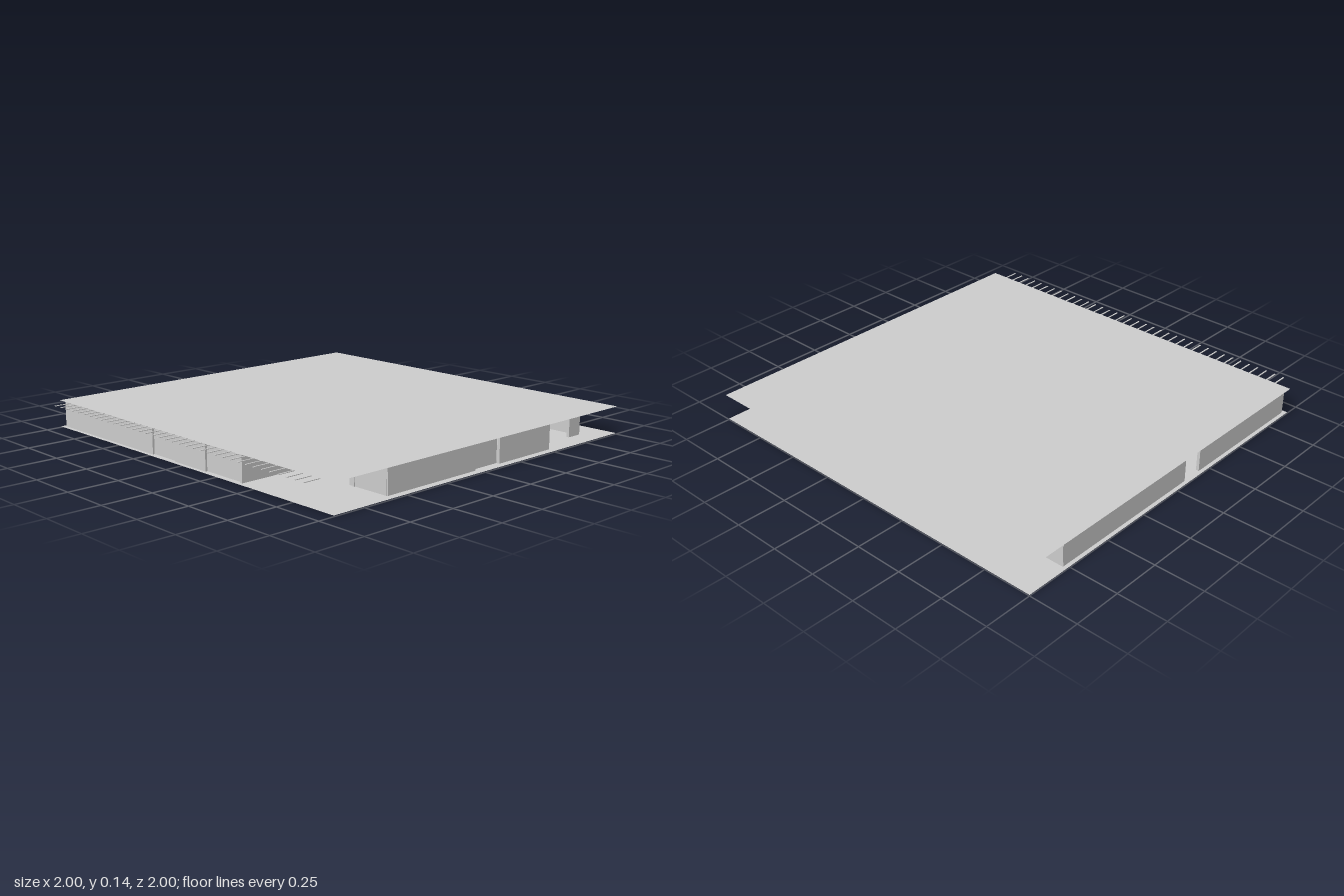
import * as THREE from 'three';

const FLOOR = 0.005, ROOF = 0.14, THICK = 0.015;

export function createModel() {
  const model = new THREE.Group();
  const grey = new THREE.MeshStandardMaterial({ color: 0xcccccc, side: THREE.DoubleSide, flatShading: true });
  const smooth = new THREE.MeshStandardMaterial({ color: 0xcccccc });

  const add = (name, geometry, x, y, z, material = grey) => {
    const mesh = new THREE.Mesh(geometry, material);
    mesh.name = name;
    mesh.position.set(x, y, z);
    model.add(mesh);
    return mesh;
  };

  // thin floor and roof sheets
  const sheet = (name, y) =>
    add(name, new THREE.PlaneGeometry(2, 1.92).rotateX(-Math.PI / 2), 0, y, -0.04);
  sheet('floor', FLOOR);
  sheet('roof', ROOF);

  // joists under the roof, reaching past its front edge
  for (let i = 0; i < 37; i++) {
    add('joist', new THREE.BoxGeometry(0.007, 0.003, 1.96), -0.912 + i * 0.0507, ROOF - 0.003, 0.02);
  }

  // wall running along x or z, between two heights
  const wallX = (name, x0, x1, z, y0 = FLOOR, y1 = ROOF - 0.001) =>
    add(name, new THREE.BoxGeometry(x1 - x0, y1 - y0, THICK), (x0 + x1) / 2, (y0 + y1) / 2, z);
  const wallZ = (name, z0, z1, x, y0 = FLOOR, y1 = ROOF - 0.001) =>
    add(name, new THREE.BoxGeometry(THICK, y1 - y0, z1 - z0), x, (y0 + y1) / 2, (z0 + z1) / 2);

  // front wall with slightly recessed panels
  wallX('frontWall', -0.98, -0.235, 0.893);
  wallX('frontPanel', -0.235, -0.065, 0.883);
  wallX('frontWall', -0.065, 0.16, 0.893);
  wallX('frontPanel', 0.16, 0.41, 0.883);

  // front corner porch with a doorway
  wallZ('porchSideWall', 0.58, 0.9, 0.405);
  wallX('porchWall', 0.41, 0.63, 0.575);
  wallX('porchWall', 0.74, 0.96, 0.575);
  wallX('porchLintel', 0.63, 0.74, 0.575, 0.105);
  for (const x of [0.61, 0.77]) wallX('porchJamb', x - 0.005, x + 0.005, 0.58);

  // side wall on the +x side with a recessed panel
  wallZ('leftWall', 0.025, 0.58, 0.957);
  wallZ('leftPanel', -0.14, 0.025, 0.94);
  wallZ('leftWall', -0.505, -0.14, 0.957);

  // rear corner bay with a doorway
  wallX('bayReturn', 0.885, 0.96, -0.505);
  wallZ('bayWall', -0.58, -0.5, 0.885);
  wallZ('bayWall', -0.845, -0.76, 0.885);
  wallZ('bayLintel', -0.76, -0.58, 0.885, 0.105);
  wallX('bayBackWall', 0.41, 0.89, -0.838);
  wallZ('baySideWall', -0.84, -0.76, 0.415);

  // back wall and the -x side wall with its opening
  wallX('backWall', -0.98, 0.415, -0.765);
  wallZ('rightWall', -0.77, 0.08, -0.973);
  wallZ('rightWall', 0.19, 0.9, -0.973);

  // round columns standing through floor and roof
  const spots = [
    [-0.37, -0.41], [-0.13, -0.4], [-0.25, -0.24], [-0.03, -0.24],
    [-0.53, -0.2], [-0.53, -0.04], [-0.41, -0.04], [-0.6, 0.09], [-0.41, 0.12], [-0.66, 0.21],
    [0.16, -0.31], [0.29, -0.31], [0.16, -0.12], [0.29, -0.12],
    [0.59, 0.21], [0.79, 0.21], [0.59, 0.42], [0.78, 0.44],
  ];
  for (const [x, z] of spots) {
    add('column', new THREE.CylinderGeometry(0.018, 0.018, ROOF, 16), x, ROOF / 2, z, smooth);
  }

  return model;
}
